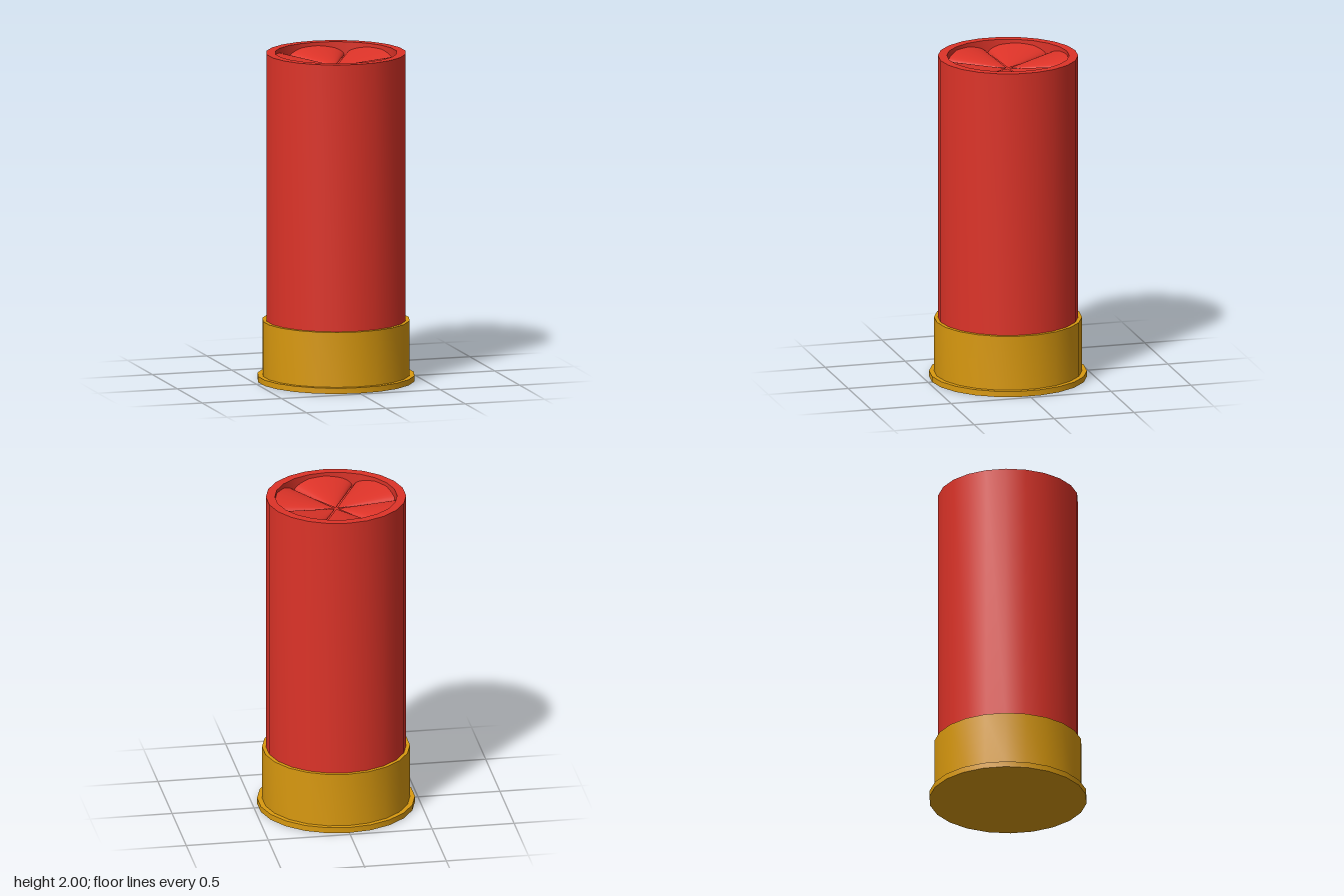
import * as THREE from 'three';
import { toCreasedNormals } from 'three/addons/utils/BufferGeometryUtils.js';

const SIDES = 22;
const PETALS = 6;

// Turned part: the profile runs upward on the outside, then inward
function turned(name, profile, material) {
  const points = profile.map(([r, y]) => new THREE.Vector2(r, y));
  const mesh = new THREE.Mesh(toCreasedNormals(new THREE.LatheGeometry(points, SIDES), 0.6), material);
  mesh.name = name;
  return mesh;
}

// One folded wedge: level edges at the seams, a bulge that grows towards the wall
function petalGeometry() {
  const geometry = new THREE.PlaneGeometry(2, 1, 16, 6);
  const pos = geometry.attributes.position;
  for (let i = 0; i < pos.count; i++) {
    const u = pos.getX(i) * Math.PI / 2;
    const v = pos.getY(i) + 0.5;
    const angle = Math.sin(u) * Math.PI / PETALS;
    const r = v * 0.365;
    pos.setXYZ(i,
      r * Math.sin(angle),
      1.92 + 0.06 * v * Math.cos(u),
      -(r * Math.cos(angle) + 0.01)); // offset leaves a thin slot between wedges
  }
  geometry.computeVertexNormals();
  return geometry;
}

export function createModel() {
  const group = new THREE.Group();
  const red = new THREE.MeshStandardMaterial({ color: 0xdd3328 });
  const redThin = new THREE.MeshStandardMaterial({ color: 0xdd3328, side: THREE.DoubleSide });
  const brass = new THREE.MeshStandardMaterial({ color: 0xd9990f });

  // Metal base with a flange at the bottom
  group.add(turned('base', [
    [0, 0], [0.475, 0], [0.475, 0.035], [0.445, 0.035], [0.445, 0.37], [0.41, 0.37],
  ], brass));

  // Tube with a raised rim and a recessed floor
  group.add(turned('tube', [
    [0.422, 0.3], [0.422, 2], [0.368, 2], [0.368, 1.905], [0, 1.905],
  ], red));

  // Folded closure
  const closure = new THREE.Group();
  closure.name = 'foldedClosure';
  const geometry = petalGeometry();
  for (let k = 0; k < PETALS; k++) {
    const petal = new THREE.Mesh(geometry, redThin);
    petal.name = 'petal';
    petal.rotation.y = THREE.MathUtils.degToRad(4) + k * 2 * Math.PI / PETALS;
    closure.add(petal);
  }
  group.add(closure);
  return group;
}
